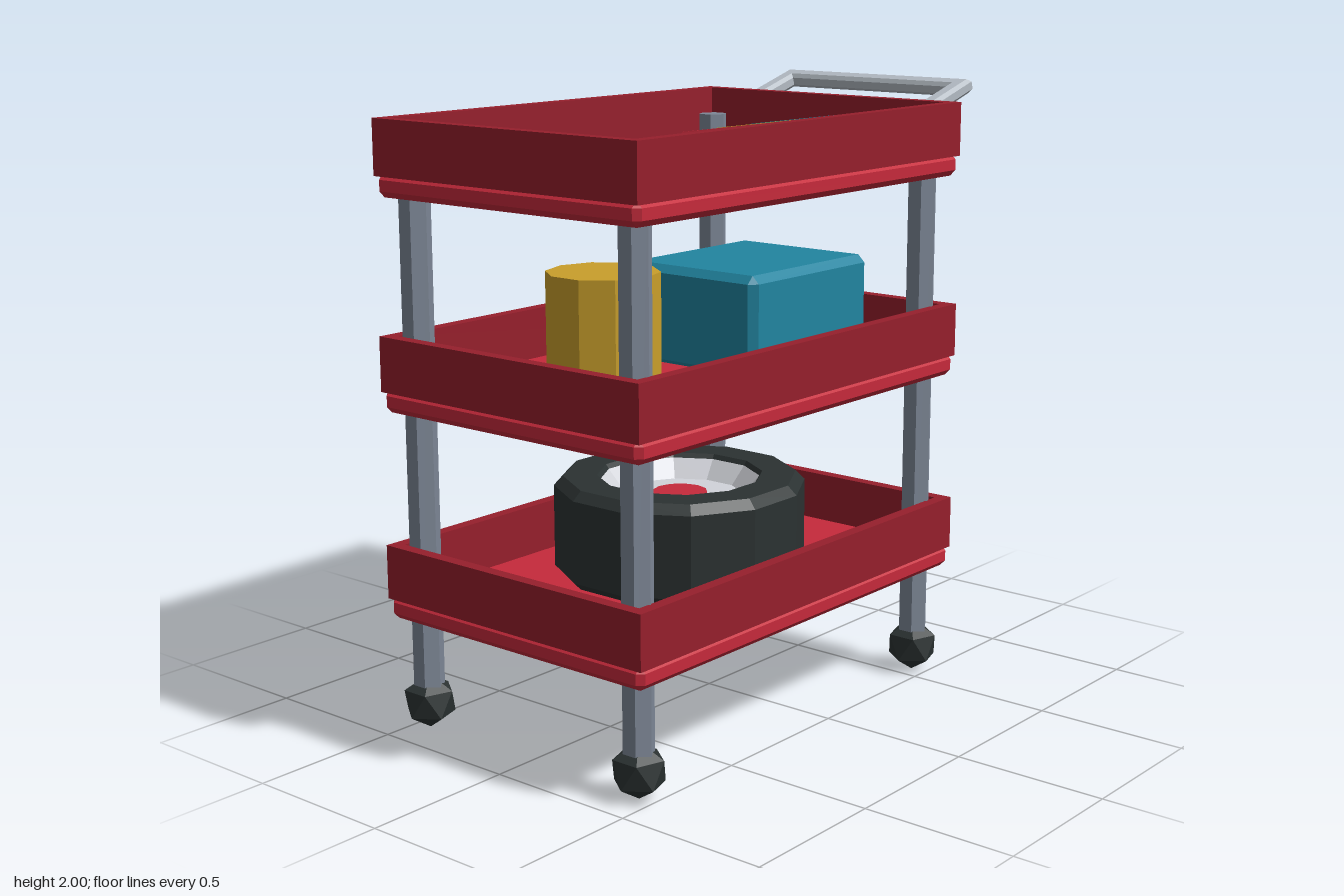
import * as THREE from 'three';
import { ConvexGeometry } from 'three/addons/geometries/ConvexGeometry.js';

const paint = (name, color) => {
  const m = new THREE.MeshStandardMaterial({ color });
  m.name = name;
  return m;
};

// Faceted normals
function flat(geo) {
  const g = geo.index ? geo.toNonIndexed() : geo;
  g.computeVertexNormals();
  return g;
}

// Box with every edge chamfered by b
function chamferBox(w, h, d, b) {
  const pts = [];
  for (const sx of [-1, 1]) for (const sy of [-1, 1]) for (const sz of [-1, 1]) {
    const [x, y, z] = [sx * w / 2, sy * h / 2, sz * d / 2];
    pts.push(new THREE.Vector3(x, y - sy * b, z - sz * b));
    pts.push(new THREE.Vector3(x - sx * b, y, z - sz * b));
    pts.push(new THREE.Vector3(x - sx * b, y - sy * b, z));
  }
  return new ConvexGeometry(pts);
}

const polygon = (pts) => new THREE.Shape(pts.map(([x, y]) => new THREE.Vector2(x, y)));
const rect = (w, d) => [[-w / 2, -d / 2], [w / 2, -d / 2], [w / 2, d / 2], [-w / 2, d / 2]];

export function createModel() {
  const red = paint('red', 0xc62a3b);
  const darkRed = paint('dark red', 0x961f2c);
  const steel = paint('steel', 0x7d8796);
  const silver = paint('silver', 0xb4bcc4);
  const rimWhite = paint('pale rim', 0xd2d4da);
  const yellow = paint('yellow', 0xc99f2b);
  const teal = paint('teal', 0x2185a0);
  const rubber = paint('rubber', 0x2b3232);

  const cart = new THREE.Group();
  cart.name = 'toolCart';
  const add = (name, geo, mat, x = 0, y = 0, z = 0, parent = cart) => {
    const m = new THREE.Mesh(geo, mat);
    m.name = name;
    m.position.set(x, y, z);
    parent.add(m);
    return m;
  };
  const cx = -0.15; // middle of the trays

  // Three trays: chamfered floor slab and a rectangular wall frame
  const frame = polygon(rect(1.6, 1.06));
  frame.holes.push(polygon(rect(1.52, 0.98)));
  const wallGeo = new THREE.ExtrudeGeometry(frame, { depth: 0.175, bevelEnabled: false });
  wallGeo.rotateX(-Math.PI / 2);
  const floorGeo = chamferBox(1.596, 0.075, 1.056, 0.02);
  ['bottom', 'middle', 'top'].forEach((n, i) => {
    const y = 0.37 + i * 0.668;
    add(n + 'TrayFloor', floorGeo, red, cx, y + 0.0375, 0);
    add(n + 'TrayWalls', wallGeo, darkRed, cx, y + 0.065, 0);
  });

  // Hexagonal legs on faceted wheels
  const legGeo = flat(new THREE.CylinderGeometry(0.05, 0.05, 1.72, 6));
  const wheelGeo = new THREE.IcosahedronGeometry(0.09, 0);
  wheelGeo.rotateX(-Math.atan((1 + Math.sqrt(5)) / 2)).rotateY(Math.PI / 2);
  for (const x of [-0.865, 0.56]) for (const z of [-0.445, 0.445]) {
    add('leg', legGeo, steel, x, 1.0, z);
    add('wheel', flat(wheelGeo), rubber, x, 0.09, z);
  }

  // Sloping U-shaped push handle
  const b = 0.012, o = 0.388 - b, n = 0.33 + b;
  const u = polygon([[-0.32, -o], [-b, -o], [-b, o], [-0.32, o],
    [-0.32, n], [-0.06 + b, n], [-0.06 + b, -n], [-0.32, -n]]);
  const handleGeo = new THREE.ExtrudeGeometry(u, {
    depth: 0.05 - 2 * b, bevelThickness: b, bevelSize: b, bevelSegments: 1,
  });
  handleGeo.translate(0, 0, -0.025 + b).rotateX(-Math.PI / 2);
  add('handle', handleGeo, silver, 0.937, 1.977, 0).rotation.z = 0.288;

  // Spare wheel on the bottom tray
  const lathe = (pts) => flat(new THREE.LatheGeometry(
    pts.map(([r, y]) => new THREE.Vector2(r, y)), 12, Math.PI / 12));
  add('spareTyre', lathe([[0, 0.44], [0.38, 0.44], [0.41, 0.47], [0.41, 0.74],
    [0.38, 0.77], [0.27, 0.77], [0.25, 0.74]]), rubber, cx);
  add('spareRim', lathe([[0.26, 0.755], [0.21, 0.695], [0, 0.695]]), rimWhite, cx);
  add('spareHub', flat(new THREE.CylinderGeometry(0.09, 0.09, 0.03, 12)), red, cx, 0.695, 0);

  // Can and case on the middle tray
  add('can', flat(new THREE.CylinderGeometry(0.178, 0.178, 0.38, 10)), yellow, -0.51, 1.29, 0);
  add('case', chamferBox(0.62, 0.335, 0.535, 0.025), teal, 0.205, 1.268, 0);

  // Spanner: round end, handle and open jaw
  const s = new THREE.Shape();
  s.absarc(0, 0, 0.12, 0.43, Math.PI * 2 - 0.43, false);
  s.absarc(0.53, 0, 0.13, Math.PI + 0.39, Math.PI * 2 - 0.6, false);
  s.lineTo(0.565, -0.04);
  s.lineTo(0.565, 0.04);
  s.absarc(0.53, 0, 0.13, 0.6, Math.PI - 0.39, false);
  s.closePath();
  const spannerGeo = new THREE.ExtrudeGeometry(s, { depth: 0.045, bevelEnabled: false, curveSegments: 10 });
  spannerGeo.rotateX(-Math.PI / 2).rotateY(0.39);
  add('spanner', spannerGeo, silver, -0.67, 1.777, 0.1);

  // Three hexagonal sticks, front ends raised a little
  const stickGeo = new THREE.CylinderGeometry(0.04, 0.04, 0.41, 6);
  stickGeo.rotateY(Math.PI / 6).rotateX(Math.PI / 2);
  [[0.115, red], [0.292, yellow], [0.47, teal]].forEach(([x, mat]) => {
    add('stick', flat(stickGeo), mat, x, 1.84, 0.015).rotation.x = -0.14;
  });

  return cart;
}
